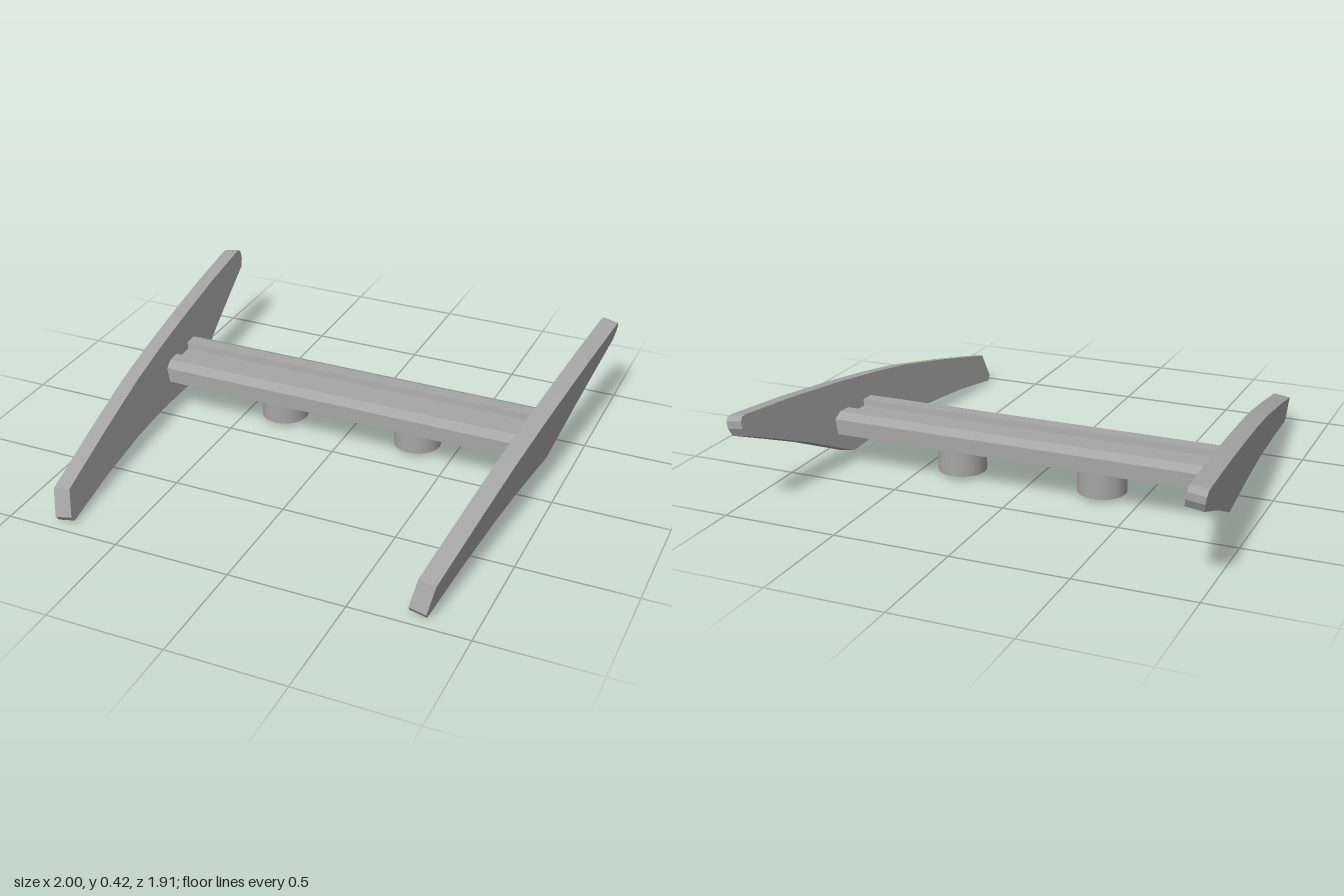
import * as THREE from 'three';

export function createModel() {
  const group = new THREE.Group();
  const grey = new THREE.MeshStandardMaterial({ color: 0xa6a6a6 });
  grey.name = 'grey';
  const greyOpen = grey.clone();
  greyOpen.side = THREE.DoubleSide;

  const add = (name, geometry, material = grey) => {
    const mesh = new THREE.Mesh(geometry, material);
    mesh.name = name;
    group.add(mesh);
    return mesh;
  };
  const shapeOf = (points) => new THREE.Shape(points.map(([u, v]) => new THREE.Vector2(u, v)));

  // Side blades: a swept profile in (z, y), canted outwards and toed in at the front
  const blade = shapeOf([
    [0.92, 0.136], [0.58, 0.213], [0.235, 0.284], [-0.02, 0.322], [-0.275, 0.353],
    [-0.6, 0.386], [-0.92, 0.409], [-0.94, 0.406], [-0.953, 0.39], [-0.953, 0.36],
    [-0.935, 0.325], [-0.76, 0.255], [-0.57, 0.177], [-0.27, 0.04],
    [-0.07, 0.054], [0.12, 0.062], [0.34, 0.059], [0.645, 0.038],
    [0.94, 0.002], [0.957, 0.025],
  ]);
  const toe = -0.067, cant = 0.17, outer = 0.866;
  const offset = [-0.073, 0.012, -0.005]; // outer face to inner face
  for (const side of [1, -1]) {
    // The left blade runs outer to inner, the mirrored one inner to outer
    const [dx, dy, dz] = offset;
    const start = side > 0 ? 0 : 1;
    const geometry = new THREE.ExtrudeGeometry(blade, { depth: 1, bevelEnabled: false });
    geometry.applyMatrix4(new THREE.Matrix4().set(
      side * toe, side * cant, dx, side * (outer + dx * start),
      0, 1, side * dy, dy * start,
      1, 0, side * dz, dz * start,
      0, 0, 0, 1,
    ));
    geometry.computeVertexNormals();
    add(side > 0 ? 'leftBlade' : 'rightBlade', geometry);
  }

  // Cross bar: two chamfered ridges with a groove between them
  const half = [[0.167, 0.155], [0.167, 0.222], [0.122, 0.243], [0.06, 0.243], [0.055, 0.215]];
  const section = shapeOf([...half, ...half.map(([z, y]) => [-z, y]).reverse()]);
  const bar = new THREE.ExtrudeGeometry(section, { depth: 1.74, bevelEnabled: false });
  bar.translate(0, 0, -0.87);
  bar.rotateY(Math.PI / 2);
  bar.translate(0, 0, -0.197);
  add('crossBar', bar);

  // Mounting sleeves, open at the bottom
  for (const side of [1, -1]) {
    const sleeve = add(side > 0 ? 'leftSleeve' : 'rightSleeve',
      new THREE.CylinderGeometry(0.105, 0.105, 0.137, 40, 1, true), greyOpen);
    sleeve.position.set(side * 0.322, 0.0885, -0.205);
  }
  return group;
}
